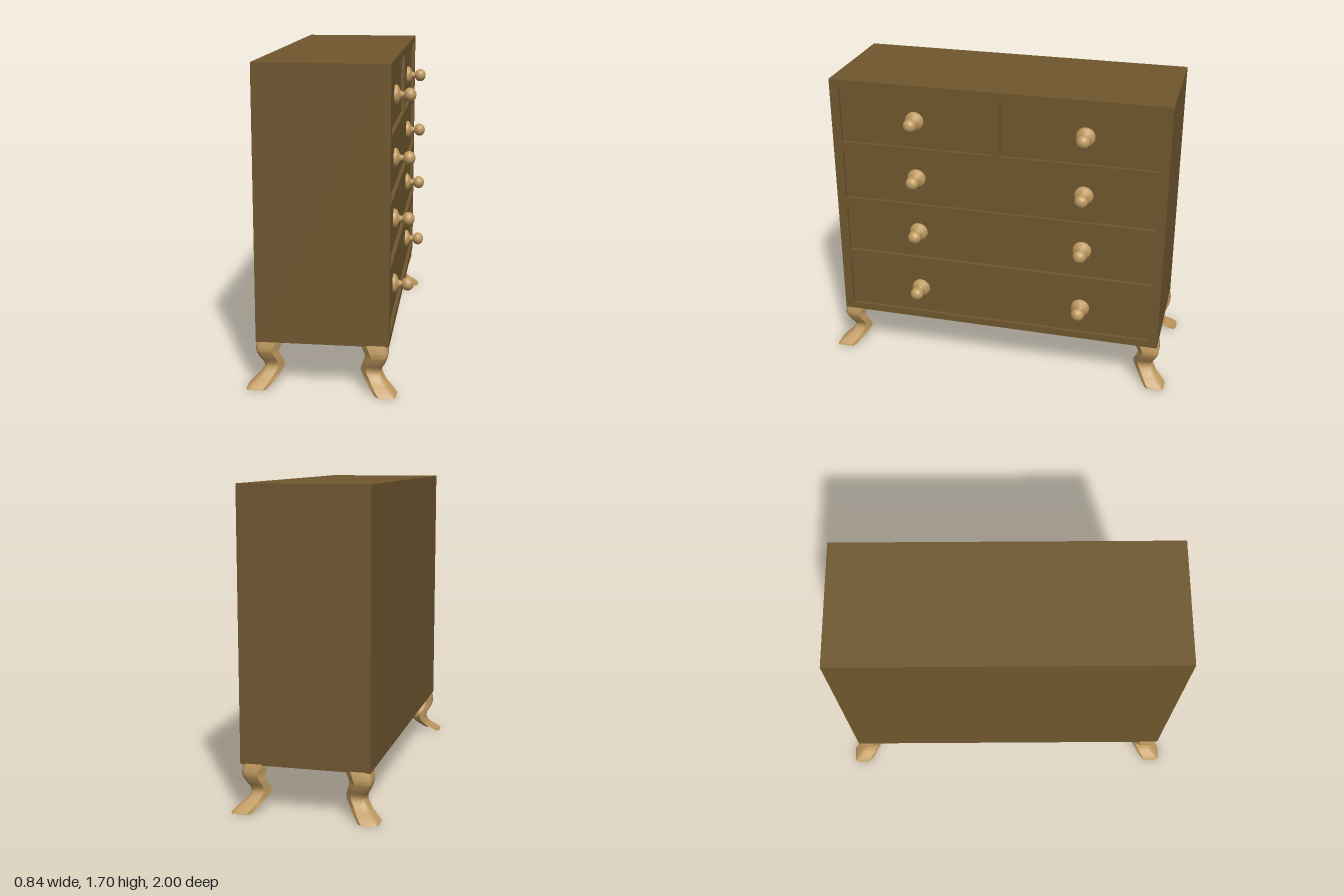
import * as THREE from 'three';
import { toCreasedNormals } from 'three/addons/utils/BufferGeometryUtils.js';

const darkWood = new THREE.MeshStandardMaterial({ color: 0x70572f });
const paleWood = new THREE.MeshStandardMaterial({ color: 0xc09a60 });

// Cabinet extents; the drawers face +x
const X0 = -0.37, X1 = 0.324, Y0 = 0.255, Y1 = 1.702, Z0 = -0.945, Z1 = 0.94;
const RECESS = 0.02;

// Drawer openings: [z min, z max, y min, y max]
const drawers = [
  [0.022, 0.888, 1.338, 1.666],
  [-0.893, -0.027, 1.338, 1.666],
  [-0.893, 0.888, 0.995, 1.286],
  [-0.893, 0.888, 0.656, 0.942],
  [-0.893, 0.888, 0.295, 0.605],
];
const knobHeights = [1.493, 1.152, 0.816, 0.447];
const knobDepths = [0.46, -0.492];

function named(geometry, material, name) {
  const mesh = new THREE.Mesh(geometry, material);
  mesh.name = name;
  return mesh;
}

function rectangle(Type, x0, x1, y0, y1) {
  return new Type([[x0, y0], [x1, y0], [x1, y1], [x0, y1]].map(([x, y]) => new THREE.Vector2(x, y)));
}

// Solid carcass with a face frame whose openings leave the drawers set back
function buildCabinet() {
  const cabinet = new THREE.Group();
  cabinet.name = 'cabinet';
  const depth = X1 - RECESS - X0;
  const core = named(new THREE.BoxGeometry(depth, Y1 - Y0, Z1 - Z0), darkWood, 'carcass');
  core.position.set(X0 + depth / 2, (Y0 + Y1) / 2, (Z0 + Z1) / 2);

  const outline = rectangle(THREE.Shape, -Z1, -Z0, Y0, Y1);
  for (const [z0, z1, y0, y1] of drawers) {
    outline.holes.push(rectangle(THREE.Path, -z1, -z0, y0, y1));
  }
  const frameGeometry = new THREE.ExtrudeGeometry(outline, { depth: RECESS, bevelEnabled: false });
  frameGeometry.rotateY(Math.PI / 2);
  const frame = named(frameGeometry, darkWood, 'drawerFrame');
  frame.position.x = X1 - RECESS;
  cabinet.add(core, frame);
  return cabinet;
}

// Turned knob: flared foot, thin neck and slightly flattened ball
function knobGeometry() {
  const profile = [[0.053, 0], [0.052, 0.012], [0.045, 0.02], [0.028, 0.026], [0.018, 0.034], [0.016, 0.046]];
  for (let i = 0; i <= 12; i++) {
    const a = THREE.MathUtils.lerp(-1.1, Math.PI / 2, i / 12);
    profile.push([Math.max(0, 0.038 * Math.cos(a)), 0.08 + 0.034 * Math.sin(a)]);
  }
  const geometry = new THREE.LatheGeometry(profile.map(([r, h]) => new THREE.Vector2(r, h)), 28);
  return geometry.rotateZ(-Math.PI / 2);
}

// Leg stations: height, inset of the outer corner, overall width, wall depth
const legStations = [
  [0, 0, 0.106, 0.016],
  [0.012, 0.008, 0.112, 0.022],
  [0.035, 0.032, 0.112, 0.028],
  [0.065, 0.064, 0.104, 0.03],
  [0.11, 0.085, 0.107, 0.03],
  [0.16, 0.062, 0.116, 0.03],
  [0.2, 0.047, 0.12, 0.032],
  [0.235, 0.049, 0.132, 0.034],
  [0.26, 0.054, 0.138, 0.036],
];

// S-curved leg lofted from angle-shaped sections, its corner pointing outwards
function legGeometry(sx, sz) {
  const sample = (k, t) => {
    const f = t * (legStations.length - 1);
    const i = Math.min(Math.floor(f), legStations.length - 2);
    const at = (j) => legStations[THREE.MathUtils.clamp(j, 0, legStations.length - 1)][k];
    const [a, b, c, d] = [at(i - 1), at(i), at(i + 1), at(i + 2)];
    const u = f - i;
    return b + 0.5 * u * (c - a + u * (2 * a - 5 * b + 4 * c - d + u * (3 * (b - c) + d - a)));
  };
  const rings = 32, positions = [], index = [];
  let n = 0;
  for (let r = 0; r <= rings; r++) {
    const [y, inset, width, d] = [0, 1, 2, 3].map((k) => sample(k, r / rings));
    const a = width - d, q = 0.022;
    const section = [
      [d, d], [a + d, d], [a, 0], [q, 0], [q * 0.55, q * 0.12], [q * 0.12, q * 0.55], [0, q], [0, a], [d, a + d],
    ];
    n = section.length;
    for (const [u, v] of section) positions.push(-sx * (inset + u), y, -sz * (inset + v));
  }
  const flip = sx * sz < 0;
  const tri = (a, b, c) => (flip ? index.push(a, c, b) : index.push(a, b, c));
  for (let r = 0; r < rings; r++) {
    for (let i = 0; i < n; i++) {
      const a = r * n + i, b = r * n + ((i + 1) % n);
      tri(a, a + n, b);
      tri(b, a + n, b + n);
    }
  }
  // Sole and top caps fan out from the inner corner
  const top = rings * n;
  for (let i = 1; i < n - 1; i++) {
    tri(0, i, i + 1);
    tri(top, top + i + 1, top + i);
  }
  // Sections run clockwise seen from above, so reverse every face if they point inwards
  const geometry = new THREE.BufferGeometry();
  geometry.setAttribute('position', new THREE.Float32BufferAttribute(positions, 3));
  let volume = 0;
  const p = [0, 1, 2].map(() => new THREE.Vector3());
  for (let i = 0; i < index.length; i += 3) {
    p.forEach((v, k) => v.fromArray(positions, index[i + k] * 3));
    volume += p[0].dot(p[1].cross(p[2]));
  }
  geometry.setIndex(volume < 0 ? index.reverse() : index);
  return toCreasedNormals(geometry, 0.6);
}

export function createModel() {
  const model = new THREE.Group();
  model.name = 'chestOfDrawers';
  model.add(buildCabinet());

  const knobs = new THREE.Group();
  knobs.name = 'knobs';
  const knobShape = knobGeometry();
  for (const y of knobHeights) {
    for (const z of knobDepths) {
      const knob = named(knobShape, paleWood, 'knob');
      knob.position.set(X1 - RECESS, y, z);
      knobs.add(knob);
    }
  }
  model.add(knobs);

  // Outer corner of each foot
  const feet = [
    ['frontLeftLeg', 0.365, 1],
    ['frontRightLeg', 0.365, -1],
    ['backLeftLeg', -0.422, 0.977],
    ['backRightLeg', -0.422, -1],
  ];
  for (const [name, x, z] of feet) {
    const leg = named(legGeometry(Math.sign(x), Math.sign(z)), paleWood, name);
    leg.position.set(x, 0, z);
    model.add(leg);
  }
  return model;
}
